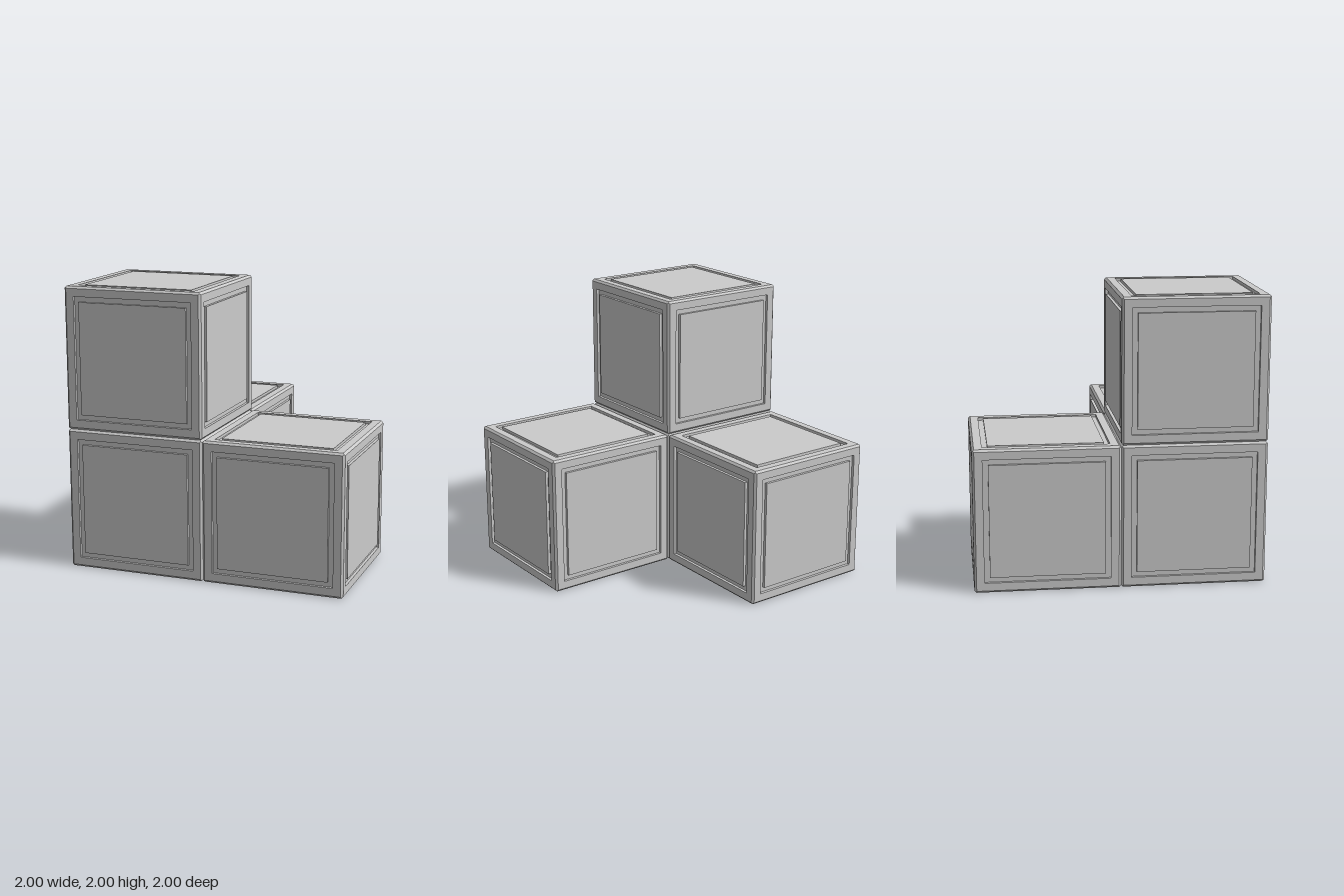
import * as THREE from 'three';
import { mergeGeometries } from 'three/addons/utils/BufferGeometryUtils.js';

const EDGE = 0.015;   // chamfer along the cube edges
const DEPTH = 0.02;   // depth of the square groove

// One cube face: half the chamfer, flat rim, square groove, flush centre panel.
// A four-sided lathe turns the profile (half-width, height) into square rings.
function faceGeometry() {
  const profile = [
    [0.5 - EDGE / 2, 0.5 - EDGE / 2],
    [0.5 - EDGE, 0.5],
    [0.43, 0.5],
    [0.43, 0.5 - DEPTH],
    [0.393, 0.5 - DEPTH],
    [0.393, 0.5],
    [0, 0.5],
  ].map(([half, y]) => new THREE.Vector2(half * Math.SQRT2, y));
  const geometry = new THREE.LatheGeometry(profile, 4, Math.PI / 4).toNonIndexed();
  geometry.computeVertexNormals();
  return geometry;
}

// Six identical faces close up into one chamfered cube.
function cubeGeometry() {
  const q = Math.PI / 2;
  const turns = [[0, 0], [q, 0], [-q, 0], [2 * q, 0], [0, q], [0, -q]];
  return mergeGeometries(turns.map(([rx, rz]) => faceGeometry().rotateX(rx).rotateZ(rz)));
}

export function createModel() {
  const group = new THREE.Group();
  group.name = 'cornerBlocks';
  const material = new THREE.MeshStandardMaterial({ color: 0xcccccc, flatShading: true });
  const geometry = cubeGeometry();

  // A corner cube with one neighbour along each axis
  const cubes = {
    cornerCube: [-0.5, 0.5, 0.5],
    topCube: [-0.5, 1.5, 0.5],
    leftCube: [0.5, 0.5, 0.5],
    backCube: [-0.5, 0.5, -0.5],
  };
  for (const [name, position] of Object.entries(cubes)) {
    const cube = new THREE.Mesh(geometry, material);
    cube.name = name;
    cube.position.set(...position);
    group.add(cube);
  }
  return group;
}
